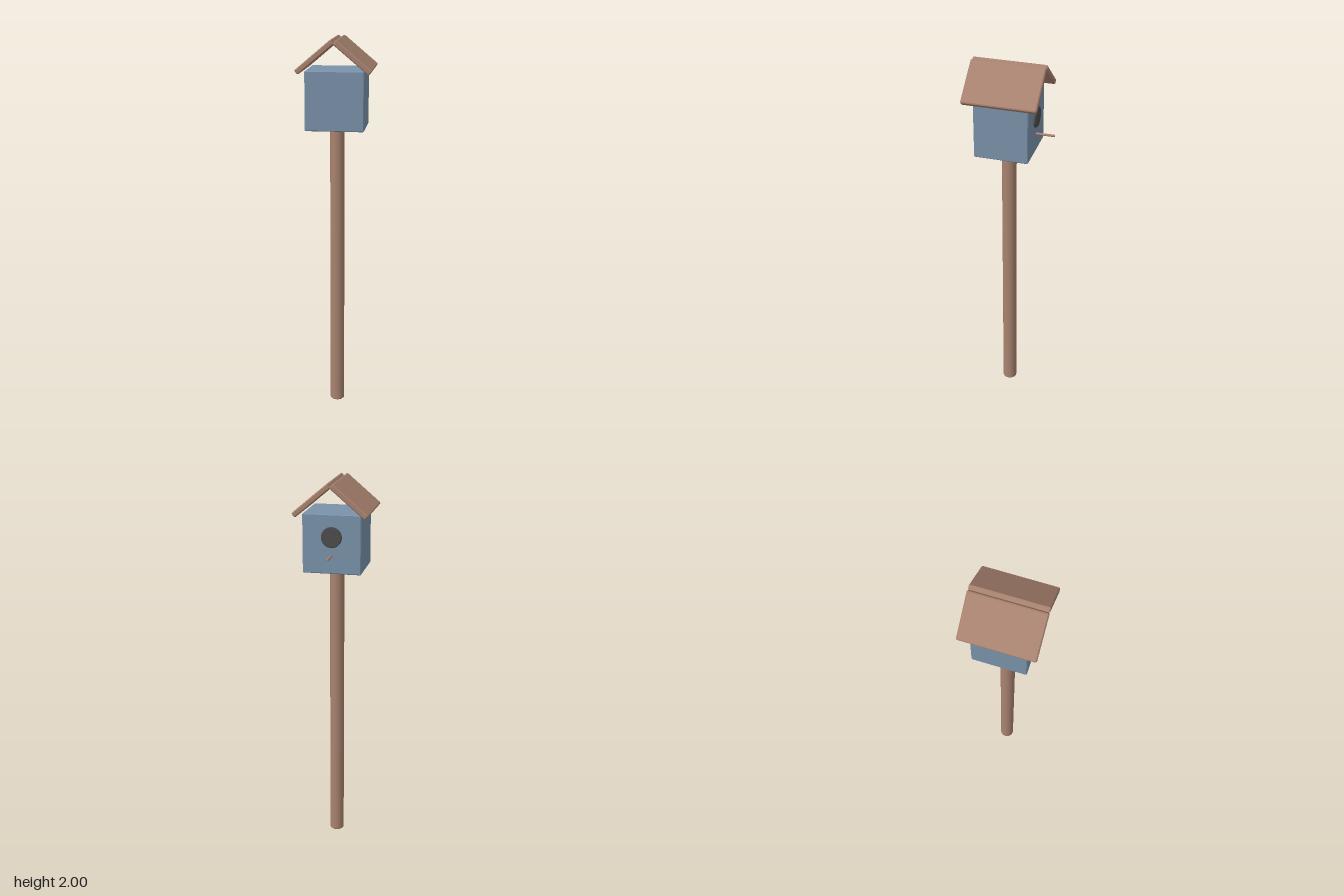
import * as THREE from 'three';
import { ConvexGeometry } from 'three/addons/geometries/ConvexGeometry.js';

// Box with every edge chamfered by c
function chamferBox(w, h, d, c) {
  const half = [w / 2, h / 2, d / 2], points = [];
  for (const sx of [-1, 1]) for (const sy of [-1, 1]) for (const sz of [-1, 1])
    for (let axis = 0; axis < 3; axis++) {
      const p = half.map((v, i) => (i === axis ? v : v - c));
      points.push(new THREE.Vector3(sx * p[0], sy * p[1], sz * p[2]));
    }
  return new ConvexGeometry(points);
}

// Upright cylinder from y = 0 to y = h with chamfered rims
function chamferRod(r, h, c, sides) {
  const V = (x, y) => new THREE.Vector2(x, y);
  // doubled points keep the rims crisp
  const profile = [V(0, 0), V(r - c, 0), V(r - c, 0), V(r, c), V(r, c),
    V(r, h - c), V(r, h - c), V(r - c, h), V(r - c, h), V(0, h)];
  return new THREE.LatheGeometry(profile, sides);
}

export function createModel() {
  const model = new THREE.Group();
  model.name = 'birdhouse';
  const wood = new THREE.MeshStandardMaterial({ color: 0xa8826f });
  wood.name = 'brown wood';
  const paint = new THREE.MeshStandardMaterial({ color: 0x7a92a9 });
  paint.name = 'blue paint';
  const dark = new THREE.MeshStandardMaterial({ color: 0x4c4c4c });
  dark.name = 'dark opening';

  const add = (name, geometry, material, x, y, z) => {
    const mesh = new THREE.Mesh(geometry, material);
    mesh.name = name;
    mesh.position.set(x, y, z);
    model.add(mesh);
    return mesh;
  };
  const cz = 0.023, backZ = cz - 0.139;

  // Post and house body
  add('post', chamferRod(0.038, 1.545, 0.005, 24), wood, 0, 0, cz);
  add('houseBody', chamferBox(0.302, 0.304, 0.278, 0.004), paint, 0, 1.693, cz);

  // Two sloping roof boards meeting at the ridge
  for (const side of [-1, 1]) {
    const board = add(side < 0 ? 'rightRoofBoard' : 'leftRoofBoard',
      chamferBox(0.235, 0.028, 0.378, 0.005), wood, side * 0.096, 1.917, cz);
    board.rotation.z = -side * THREE.MathUtils.degToRad(40);
  }

  // Entrance disc and perch face -z
  const hole = add('entranceHole', chamferRod(0.053, 0.016, 0.003, 32), dark, 0, 1.73, backZ + 0.005);
  const perch = add('perch', chamferRod(0.006, 0.104, 0.003, 12), wood, 0, 1.637, backZ + 0.006);
  hole.rotation.x = perch.rotation.x = -Math.PI / 2;

  return model;
}
